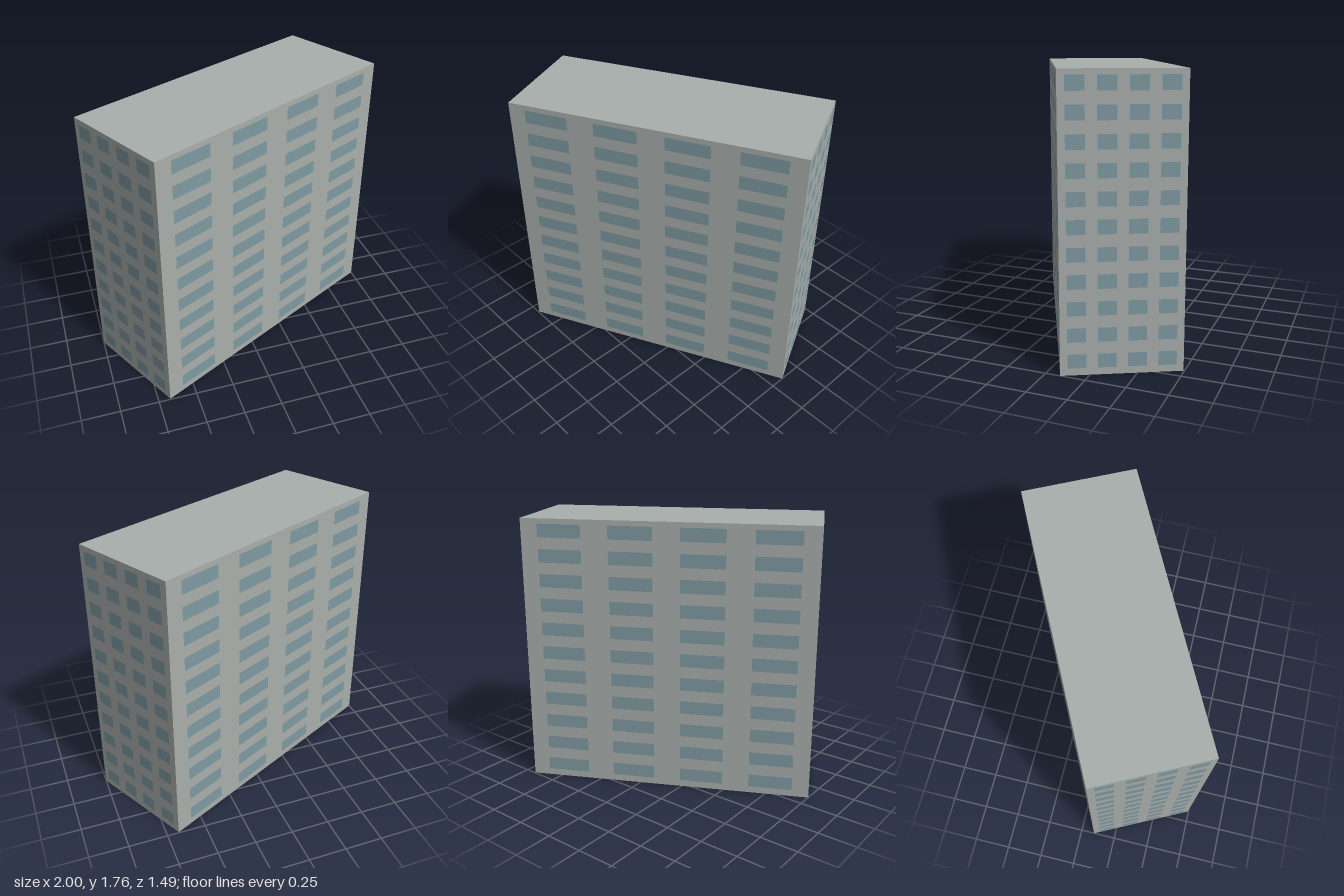
import * as THREE from 'three';

const LENGTH = 1.874, DEPTH = 0.727, HEIGHT = 1.765;
const FLOORS = 11, COLUMNS = 4;

export function createModel() {
  const concrete = new THREE.MeshStandardMaterial({ color: 0xa9afac, side: THREE.DoubleSide });
  concrete.name = 'concrete';
  const glass = new THREE.MeshStandardMaterial({ color: 0x7f9aa2 });
  glass.name = 'window glass';

  const model = new THREE.Group();
  model.name = 'apartmentBlock';
  const block = new THREE.Group();
  block.name = 'block';
  block.rotation.y = Math.atan2(0.84, 1.675);
  model.add(block);

  // One facade: a plain wall with a grid of flush windows, facing +z before turning
  function addFacade(name, width, distance, angle) {
    const facade = new THREE.Group();
    facade.name = name;
    facade.rotation.y = angle;
    const wall = new THREE.Mesh(new THREE.PlaneGeometry(width, HEIGHT), concrete);
    wall.name = 'wall';
    wall.position.set(0, HEIGHT / 2, distance);
    facade.add(wall);

    const pane = new THREE.PlaneGeometry(width * 0.151, 0.086);
    for (let floor = 0; floor < FLOORS; floor++) {
      for (let col = 0; col < COLUMNS; col++) {
        const win = new THREE.Mesh(pane, glass);
        win.name = 'window';
        win.position.set((col - (COLUMNS - 1) / 2) * width * 0.244, 0.087 + floor * 0.1602, distance + 0.002);
        facade.add(win);
      }
    }
    block.add(facade);
  }

  addFacade('frontFacade', LENGTH, DEPTH / 2, 0);
  addFacade('backFacade', LENGTH, DEPTH / 2, Math.PI);
  addFacade('leftFacade', DEPTH, LENGTH / 2, Math.PI / 2);
  addFacade('rightFacade', DEPTH, LENGTH / 2, -Math.PI / 2);

  // Flat roof; the shell is open underneath
  const roof = new THREE.Mesh(new THREE.PlaneGeometry(LENGTH, DEPTH), concrete);
  roof.name = 'roof';
  roof.rotation.x = -Math.PI / 2;
  roof.position.y = HEIGHT;
  block.add(roof);

  return model;
}
